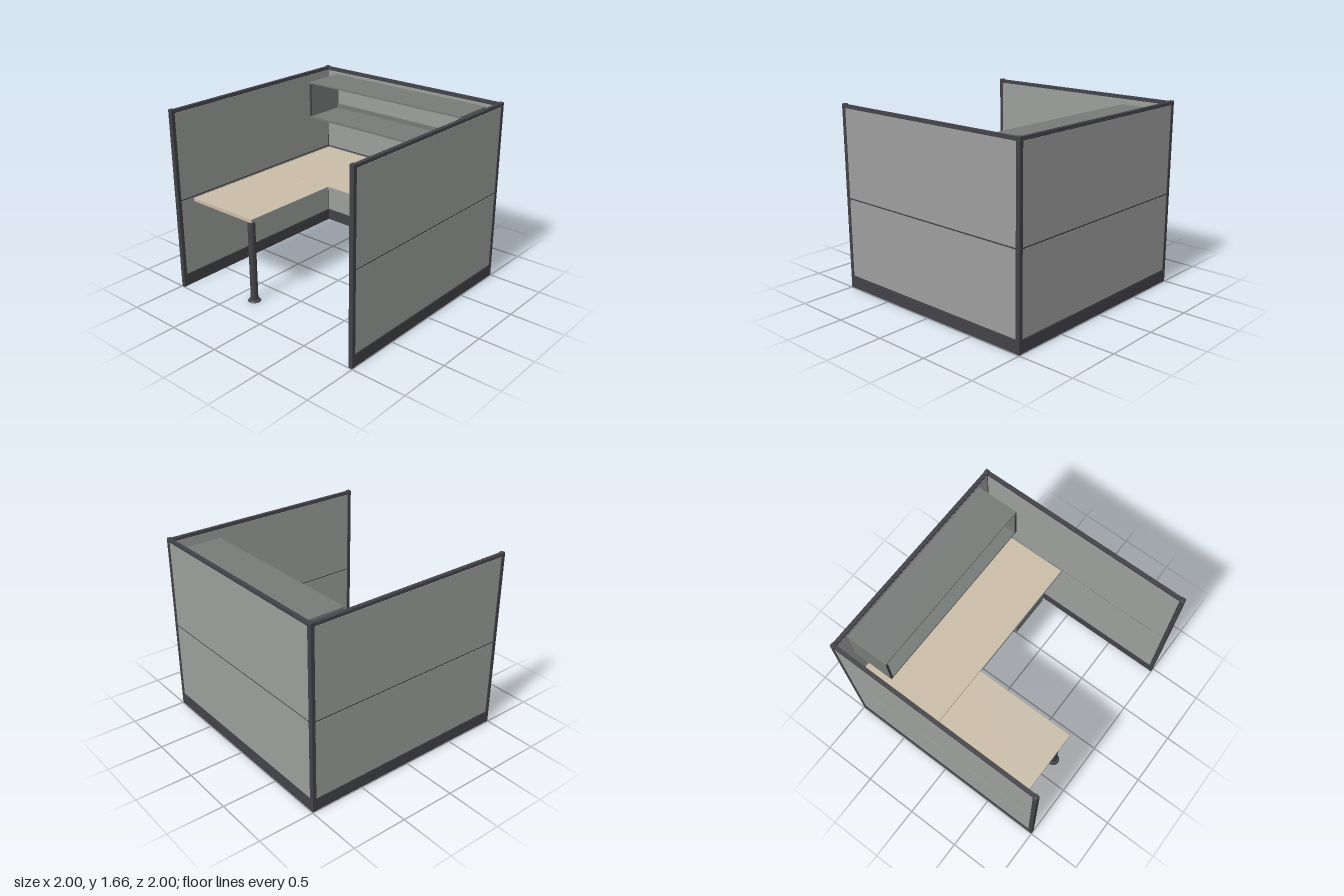
import * as THREE from 'three';
import { RoundedBoxGeometry } from 'three/addons/geometries/RoundedBoxGeometry.js';

const mat = (name, color) => {
  const m = new THREE.MeshStandardMaterial({ color });
  m.name = name;
  return m;
};

export function createModel() {
  const charcoal = mat('charcoal frame', 0x434248);
  const fabric = mat('light grey panel', 0x9c9e9c);
  const steel = mat('mid grey steel', 0x777b78);
  const wood = mat('tan worktop', 0xcabda9);

  const model = new THREE.Group();
  model.name = 'officeCubicle';

  const group = (name, parent = model) => {
    const g = new THREE.Group();
    g.name = name;
    parent.add(g);
    return g;
  };
  const add = (parent, name, geometry, material, x, y, z) => {
    const m = new THREE.Mesh(geometry, material);
    m.name = name;
    m.position.set(x, y, z);
    parent.add(m);
    return m;
  };
  // box given by its limits on each axis
  const box = (parent, name, material, [x0, x1], [y0, y1], [z0, z1]) =>
    add(parent, name, new THREE.BoxGeometry(x1 - x0, y1 - y0, z1 - z0), material,
      (x0 + x1) / 2, (y0 + y1) / 2, (z0 + z1) / 2);

  // corner and end posts
  for (const x of [-0.98, 0.98]) {
    for (const z of [-0.98, 0.98]) {
      add(model, 'post', new RoundedBoxGeometry(0.04, 1.66, 0.04, 2, 0.007), charcoal, x, 0.83, z);
    }
  }

  // partition walls, each built along x and turned into place
  const wall = (name, x, z, turn) => {
    const g = group(name);
    const span = [-0.962, 0.962];
    const slab = (part, material, y, depth) =>
      box(g, part, material, span, y, [-depth / 2, depth / 2]);
    slab('core', charcoal, [0.1, 1.63], 0.022);
    slab('baseboard', charcoal, [0.004, 0.115], 0.036);
    slab('lowerPanel', fabric, [0.12, 0.824], 0.03);
    slab('upperPanel', fabric, [0.838, 1.622], 0.03);
    slab('railNeck', charcoal, [1.626, 1.634], 0.03);
    slab('topRail', charcoal, [1.637, 1.652], 0.034);
    g.position.set(x, 0, z);
    g.rotation.y = turn;
  };
  wall('backWall', 0, -0.98, 0);
  wall('leftWall', 0.98, 0, Math.PI / 2);
  wall('rightWall', -0.98, 0, Math.PI / 2);

  // L-shaped worktop with grey bands on the inner edges
  const desk = group('desk');
  const top = [0.787, 0.817];
  box(desk, 'mainWorktop', wood, [-0.963, 0.963], top, [-0.963, -0.142]);
  box(desk, 'mainEdgeBand', fabric, [-0.24, 0.963], top, [-0.142, -0.137]);
  box(desk, 'returnWorktop', wood, [-0.963, -0.245], top, [-0.138, 0.823]);
  box(desk, 'returnEdgeBand', fabric, [-0.245, -0.24], top, [-0.137, 0.823]);
  box(desk, 'supportRail', steel, [-0.96, 0.96], [0.722, 0.787], [-0.963, -0.945]);

  // round leg with a spreading foot
  const leg = group('deskLeg');
  leg.position.set(-0.32, 0, 0.75);
  add(leg, 'legTube', new THREE.CylinderGeometry(0.033, 0.033, 0.775, 32), charcoal, 0, 0.3995, 0);
  add(leg, 'legFoot', new THREE.CylinderGeometry(0.048, 0.058, 0.014, 32), charcoal, 0, 0.007, 0);

  // overhead open shelf
  const shelf = group('overheadShelf');
  const depth = [-0.963, -0.57];
  box(shelf, 'shelfTop', steel, [-0.848, 0.845], [1.584, 1.598], depth);
  box(shelf, 'shelfFloor', steel, [-0.848, 0.845], [1.245, 1.264], depth);
  box(shelf, 'shelfBackLip', steel, [-0.828, 0.825], [1.264, 1.305], [-0.963, -0.95]);
  for (const x of [-0.838, 0.835]) {
    box(shelf, 'shelfSide', steel, [x - 0.009, x + 0.009], [1.264, 1.584], [-0.963, -0.572]);
    box(shelf, 'shelfSideTrim', charcoal, [x - 0.01, x + 0.01], [1.264, 1.575], [-0.572, -0.565]);
  }
  box(shelf, 'underShelfStrip', steel, [-0.8, 0.795], [1.234, 1.245], [-0.9, -0.7]);

  // drawer pedestal
  const pedestal = group('drawerPedestal');
  box(pedestal, 'pedestalCase', steel, [0.48, 0.932], [0.022, 0.745], [-0.93, -0.305]);
  const drawers = [[0.578, 0.73, 0.69], [0.39, 0.556, 0.514], [0.035, 0.37, 0.326]];
  for (const [y0, y1, handleY] of drawers) {
    box(pedestal, 'drawerFront', steel, [0.488, 0.924], [y0, y1], [-0.305, -0.285]);
    add(pedestal, 'drawerHandle', new RoundedBoxGeometry(0.175, 0.014, 0.014, 2, 0.005),
      steel, 0.704, handleY, -0.279);
  }
  for (const x of [0.503, 0.908]) {
    for (const z of [-0.9, -0.335]) {
      add(pedestal, 'pedestalFoot', new THREE.CylinderGeometry(0.013, 0.013, 0.024, 16),
        steel, x, 0.012, z);
    }
  }
  return model;
}
